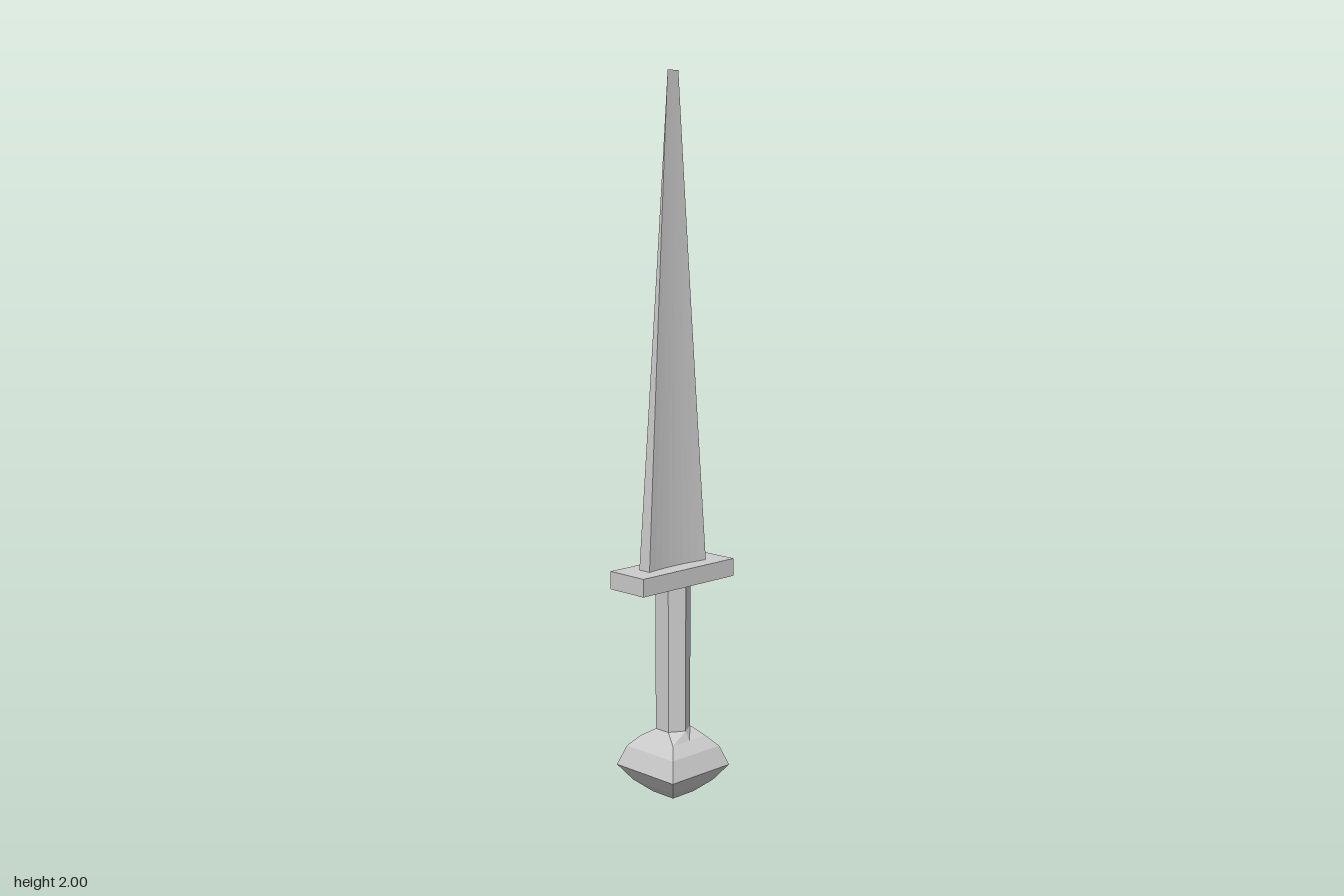
import * as THREE from 'three';

// Skin a stack of rings (each { y, pts: [[x, z], ...] }, running from +x towards +z) and cap both ends
function loft(rings) {
  const pos = [];
  const put = (r, i) => {
    const p = r.pts[i % r.pts.length];
    pos.push(p[0], r.y, p[1]);
  };
  const n = rings[0].pts.length;
  for (let k = 0; k < rings.length - 1; k++) {
    const lo = rings[k], hi = rings[k + 1];
    for (let i = 0; i < n; i++) {
      put(lo, i); put(hi, i); put(lo, i + 1);
      put(lo, i + 1); put(hi, i); put(hi, i + 1);
    }
  }
  const first = rings[0], last = rings[rings.length - 1];
  for (let i = 0; i < n; i++) {
    pos.push(0, first.y, 0); put(first, i); put(first, i + 1);
    pos.push(0, last.y, 0); put(last, i + 1); put(last, i);
  }
  const g = new THREE.BufferGeometry();
  g.setAttribute('position', new THREE.Float32BufferAttribute(pos, 3));
  g.computeVertexNormals();
  return g;
}

// Square ring with extra midpoints on the x sides, so it matches the hexagon
const square = (y, h) => ({ y, pts: [[h, 0], [h, h], [-h, h], [-h, 0], [-h, -h], [h, -h]] });

const hexagon = (y, r) => ({
  y,
  pts: Array.from({ length: 6 }, (_, i) => [r * Math.cos(i * Math.PI / 3), r * Math.sin(i * Math.PI / 3)]),
});

// Hollow-ground blade section: wide at both edges, thinner in the middle
function bladeRing(y, halfWidth, halfThick, steps = 8) {
  const side = [];
  for (let i = 0; i <= steps; i++) {
    const s = -1 + 2 * i / steps;
    side.push([halfThick * (0.55 + 0.45 * s * s), s * halfWidth]);
  }
  return { y, pts: [...side, ...side.map(([x, z]) => [-x, -z])] };
}

export function createModel() {
  const group = new THREE.Group();
  const steel = new THREE.MeshStandardMaterial({ color: 0xcccccc, flatShading: true });
  steel.name = 'steel';

  const add = (name, geometry) => {
    const mesh = new THREE.Mesh(geometry, steel);
    mesh.name = name;
    group.add(mesh);
    return mesh;
  };

  // Square pommel blending into the six-sided grip
  add('pommel', loft([
    square(0, 0.04), square(0.035, 0.08), square(0.08, 0.112),
    square(0.135, 0.092), square(0.165, 0.065), hexagon(0.19, 0.05),
  ]));

  add('grip', loft([hexagon(0.19, 0.05), hexagon(0.615, 0.05)]));

  add('guard', new THREE.BoxGeometry(0.13, 0.05, 0.352)).position.y = 0.633;

  // Blade tapering to a flat, knife-thin tip
  const rings = [];
  for (let i = 0; i <= 6; i++) {
    const t = i / 6;
    rings.push(bladeRing(0.655 + 1.345 * t, 0.11 - 0.09 * t, 0.02 * Math.pow(1 - t, 1.2)));
  }
  add('blade', loft(rings));

  return group;
}
